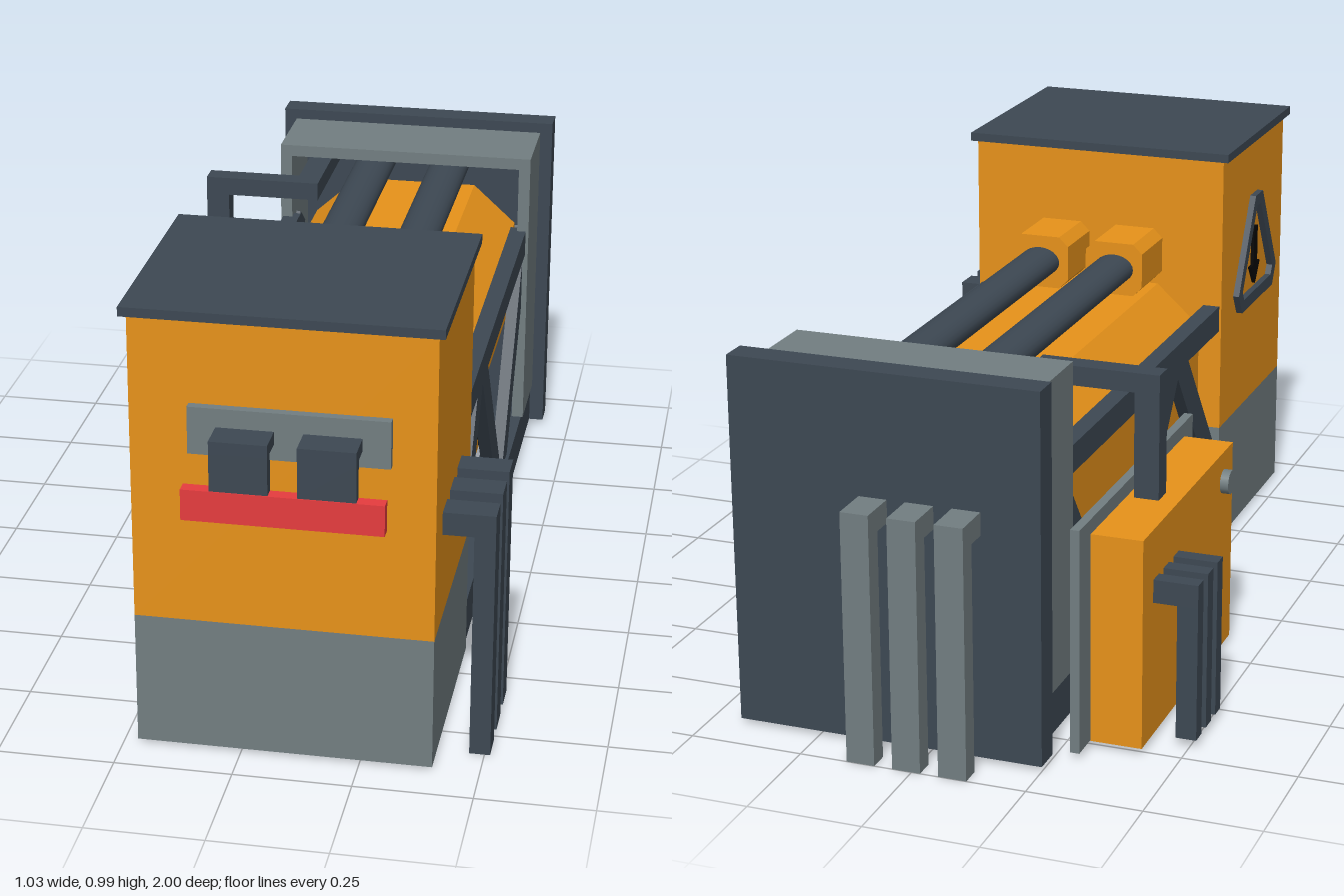
import * as THREE from 'three';

const mat = (name, color, side = THREE.FrontSide) => {
  const m = new THREE.MeshStandardMaterial({ color, side });
  m.name = name;
  return m;
};

export function createModel() {
  const root = new THREE.Group();
  root.name = 'machine';
  const orange = mat('orange paint', 0xe8931a, THREE.DoubleSide);
  const grey = mat('grey metal', 0x727e81, THREE.DoubleSide);
  const dark = mat('dark steel', 0x3d4853);
  const black = mat('black stripe', 0x060606);
  const soot = mat('dark underside', 0x20272c);
  const red = mat('red bar', 0xe63c3e);
  const CX = 0.09; // centre line of the main machine

  const add = (name, geo, material, parent = root) => {
    const m = new THREE.Mesh(geo, material);
    m.name = name;
    parent.add(m);
    return m;
  };
  // Box given by its limits on each axis
  const box = (name, material, [x0, x1], [y0, y1], [z0, z1], parent = root) => {
    const m = add(name, new THREE.BoxGeometry(x1 - x0, y1 - y0, z1 - z0), material, parent);
    m.position.set((x0 + x1) / 2, (y0 + y1) / 2, (z0 + z1) / 2);
    return m;
  };
  // Leave out faces of a box by number (2 = top, 3 = bottom)
  const openBox = (mesh, ...faces) => {
    const geo = mesh.geometry;
    geo.setIndex(Array.from(geo.index.array).filter((_, i) => !faces.includes(Math.floor(i / 6))));
    geo.clearGroups();
  };
  const polygon = (points) => new THREE.Shape(points.map(([x, y]) => new THREE.Vector2(x, y)));
  const extrude = (shape, depth) => new THREE.ExtrudeGeometry(shape, { depth, bevelEnabled: false });
  // Rectangle with cut corners, centred on the origin
  const cutRect = (hw, hh, cx, cy) => polygon([
    [-hw, -hh + cy], [-hw + cx, -hh], [hw - cx, -hh], [hw, -hh + cy],
    [hw, hh - cy], [hw - cx, hh], [-hw + cx, hh], [-hw, hh - cy],
  ]);

  // Front tower, a hollow shell open at the bottom
  const tower = new THREE.Group();
  tower.name = 'frontTower';
  root.add(tower);
  openBox(box('towerBase', grey, [-0.22, 0.402], [0.01, 0.304], [0.403, 0.91], tower), 2, 3);
  openBox(box('towerBody', orange, [-0.22, 0.402], [0.304, 0.97], [0.403, 0.91], tower), 3);
  box('towerCap', dark, [-0.235, 0.415], [0.97, 0.99], [0.39, 0.92], tower);

  // Fittings on the tower front
  box('frontPlate', grey, [-0.097, 0.313], [0.69, 0.792], [0.911, 0.93], tower);
  for (const x of [0.02, 0.197]) {
    box('frontArm', dark, [x - 0.059, x + 0.059], [0.725, 0.752], [0.92, 0.998], tower);
    box('frontArmDrop', dark, [x - 0.059, x + 0.059], [0.643, 0.726], [0.972, 0.998], tower);
  }
  box('frontBar', red, [-0.097, 0.313], [0.577, 0.644], [0.972, 1.0], tower);

  // Side pipes of the tower
  for (const z of [0.587, 0.692, 0.797]) {
    box('sidePipeElbow', dark, [0.403, 0.512], [0.505, 0.555], [z - 0.031, z + 0.031], tower);
    box('sidePipe', dark, [0.468, 0.512], [0.002, 0.506], [z - 0.031, z + 0.031], tower);
  }

  // Triangular warning sign on the tower's right side
  const sign = new THREE.Group();
  sign.name = 'warningSign';
  sign.rotation.y = -Math.PI / 2;
  sign.position.set(-0.22, 0.56, 0.66);
  root.add(sign);
  const frame = polygon([[-0.13, 0], [0.13, 0], [0.16, 0.05], [0.03, 0.27], [-0.03, 0.27], [-0.16, 0.05]]);
  frame.holes.push(new THREE.Path([[-0.115, 0.03], [-0.128, 0.052], [-0.015, 0.242], [0.015, 0.242], [0.128, 0.052], [0.115, 0.03]]
    .map(([x, y]) => new THREE.Vector2(x, y))));
  add('signFrame', extrude(frame, 0.015), dark, sign);
  add('signArrow', extrude(polygon([[0, 0.04], [0.038, 0.09], [0.015, 0.09], [0.015, 0.185],
    [-0.015, 0.185], [-0.015, 0.09], [-0.038, 0.09]]), 0.008), black, sign);

  // Long eight-sided tank
  const tank = add('tank', extrude(cutRect(0.255, 0.198, 0.105, 0.095), 1.23), orange);
  tank.position.set(CX, 0.457, -0.83);

  // Pipes above the tank with their sockets
  for (const x of [0, 0.185]) {
    const socket = add('pipeSocket', extrude(cutRect(0.07, 0.063, 0.022, 0.022), 0.152), orange);
    socket.position.set(x, 0.728, 0.25);
    const pipe = add('topPipe', new THREE.CylinderGeometry(0.048, 0.048, 1.1, 24), dark);
    pipe.rotation.x = Math.PI / 2;
    pipe.scale.z = 0.72;
    pipe.position.set(x, 0.728, -0.28);
  }

  // Rails and zigzag truss on both sides
  const nodes = [[0.43, 0.154], [0.105, 0.585], [-0.31, 0.035], [-0.72, 0.585]];
  for (const s of [1, -1]) {
    const x = CX + s * 0.285, inner = CX + s * 0.235, outer = CX + s * 0.307;
    box('bottomRail', dark, [Math.min(inner, outer), Math.max(inner, outer)], [0.013, 0.11], [-0.842, 0.405]);
    box('topRail', dark, [x - 0.02, x + 0.02], [0.55, 0.612], [-0.66, 0.405]);
    for (let i = 0; i < 3; i++) {
      const [z0, y0] = nodes[i], [z1, y1] = nodes[i + 1];
      const bar = add('trussBar', new THREE.BoxGeometry(0.028, 0.075, Math.hypot(z1 - z0, y1 - y0)), dark);
      bar.position.set(x, (y0 + y1) / 2, (z0 + z1) / 2);
      bar.rotation.x = -Math.atan2(y1 - y0, z1 - z0);
    }
  }

  // Striped skirts: slanted pieces alternating orange and black
  const front = 0.405, back = -0.64, clamp = (z) => Math.min(front, Math.max(back, z));
  for (const s of [1, -1]) {
    for (let i = -2; i < 6; i++) {
      const z = 0.17 - i * 0.168;
      const top = [clamp(z), clamp(z - 0.168)], low = [clamp(z - 0.138), clamp(z - 0.306)];
      if (top[0] - top[1] + low[0] - low[1] < 0.001) continue;
      const piece = add('skirtStripe', extrude(polygon([[-top[0], 0.262], [-low[0], 0.015],
        [-low[1], 0.015], [-top[1], 0.262]]), 0.01), i % 2 ? orange : black);
      piece.rotation.y = Math.PI / 2;
      piece.position.x = CX + s * 0.195 - 0.005;
    }
  }
  box('underTray', soot, [CX - 0.19, CX + 0.19], [0.1, 0.12], [back, front]);

  // Rear frame, open to the front, and rear plate
  const rear = new THREE.Group();
  rear.name = 'rearFrame';
  root.add(rear);
  box('rearFrameTop', grey, [-0.22, 0.402], [0.772, 0.8], [-0.845, -0.635], rear);
  for (const x of [-0.22, 0.374]) box('rearFrameSide', grey, [x, x + 0.028], [0.11, 0.773], [-0.845, -0.635], rear);
  box('rearPlate', dark, [-0.25, 0.432], [0.012, 0.825], [-0.906, -0.842], rear);
  for (const x of [-0.09, 0.012, 0.114]) {
    box('rearPipeElbow', grey, [x - 0.031, x + 0.031], [0.505, 0.555], [-1, -0.9], rear);
    box('rearPipe', grey, [x - 0.031, x + 0.031], [0.002, 0.506], [-1, -0.955], rear);
  }

  // Control cabinet on the right side, open at the bottom
  const cabinet = new THREE.Group();
  cabinet.name = 'controlCabinet';
  root.add(cabinet);
  openBox(box('cabinetBody', orange, [-0.418, -0.305], [0.016, 0.48], [-0.765, -0.145], cabinet), 3);
  box('cabinetBackPlate', grey, [-0.304, -0.284], [0.016, 0.511], [-0.83, -0.08], cabinet);
  for (const z of [-0.68, -0.613, -0.547]) {
    box('cabinetPipeElbow', dark, [-0.515, -0.417], [0.318, 0.369], [z - 0.018, z + 0.018], cabinet);
    box('cabinetPipe', dark, [-0.515, -0.47], [0.02, 0.319], [z - 0.018, z + 0.018], cabinet);
  }
  const knob = add('cabinetKnob', new THREE.CylinderGeometry(0.027, 0.027, 0.02, 20), grey, cabinet);
  knob.rotation.z = Math.PI / 2;
  knob.position.set(-0.427, 0.412, -0.212);

  // Square duct from the cabinet to the rear frame
  box('ductRise', dark, [-0.376, -0.321], [0.479, 0.756], [-0.54, -0.49], cabinet);
  box('ductAcross', dark, [-0.322, -0.1], [0.713, 0.756], [-0.54, -0.49], cabinet);
  box('ductBack', dark, [-0.155, -0.1], [0.713, 0.756], [-0.85, -0.539], cabinet);

  return root;
}
